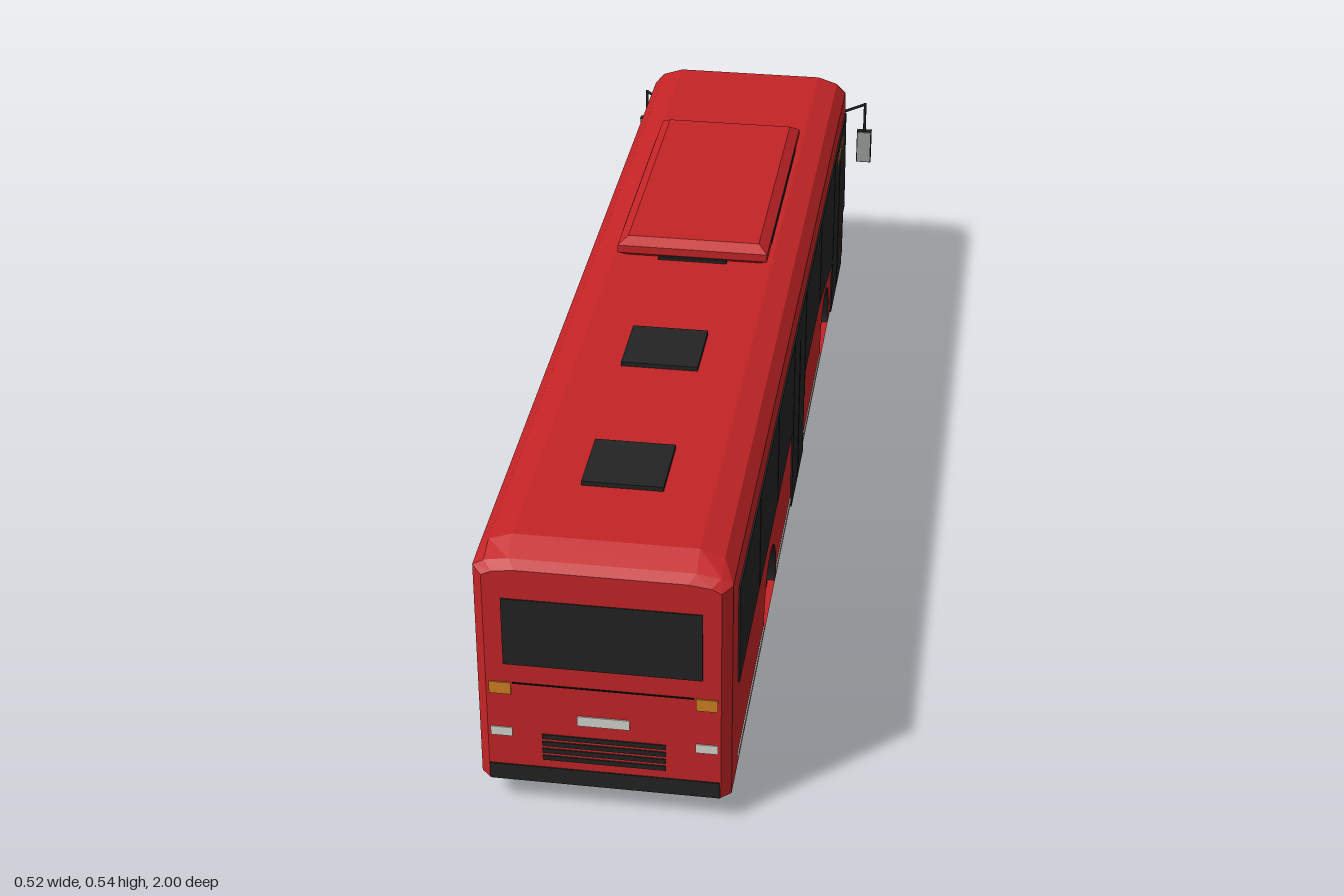
import * as THREE from 'three';

const mat = (name, color) => new THREE.MeshStandardMaterial({ name, color, side: THREE.DoubleSide });

export function createModel() {
  const bus = new THREE.Group();
  bus.name = 'cityBus';
  const red = mat('red paint', 0xc42426);
  const black = mat('black trim', 0x232323);
  const line = mat('seam black', 0x131313);
  const under = mat('chassis grey', 0x2a2d30);
  const rubber = mat('tyre rubber', 0x1c1c1c);
  const glass = mat('windscreen blue', 0x6a808d);
  const amber = mat('amber lamp', 0xd08022);
  const white = mat('pale lamp', 0xd6d6d0);
  const silver = mat('silver', 0x9c9e9c);

  const add = (name, geo, material, parent = bus) => {
    const m = new THREE.Mesh(geo, material);
    m.name = name;
    parent.add(m);
    return m;
  };
  // box given by its limits on each axis
  const box = (name, x0, x1, y0, y1, z0, z1, material) => add(name,
    new THREE.BoxGeometry(x1 - x0, y1 - y0, z1 - z0)
      .translate((x0 + x1) / 2, (y0 + y1) / 2, (z0 + z1) / 2), material);
  // flat-shaded geometry from quads of corner points
  const quads = (list) => {
    const pos = [];
    for (const [a, b, c, d] of list) pos.push(...a, ...b, ...c, ...a, ...c, ...d);
    const g = new THREE.BufferGeometry();
    g.setAttribute('position', new THREE.Float32BufferAttribute(pos, 3));
    g.computeVertexNormals();
    return g;
  };

  const W = 0.208, FLOOR = 0.05, SILL = 0.17, AXLES = [0.456, -0.525], ARCH = 0.088, HUB = 0.08;
  const lean = (y) => Math.max(0, y - SILL) * 0.12;

  // Body shell: cross-sections from tail to nose [z, half width, shoulder, roof, leaning]
  const rings = [
    [1.0, 0.192, 0.455, 0.468, 0], [0.985, W, 0.463, 0.48, 0], [0.945, W, 0.465, 0.5, 0],
    [-0.885, W, 0.465, 0.5, 0], [-0.935, W, 0.46, 0.492, 1], [-0.97, 0.18, 0.45, 0.472, 1],
  ].map(([z, w, s, t, k]) => {
    const half = [[w, FLOOR], [w, SILL], [w, s], [w * 0.91, s + (t - s) * 0.63], [w * 0.72, t]]
      .map(([x, y]) => [x, y, z + k * lean(y)]);
    return [...half, ...half.map(([x, y, zz]) => [-x, y, zz]).reverse()];
  });
  const skin = [];
  for (let k = 0; k < 5; k++) for (let j = 0; j < 10; j++) {
    if (k > 0 && k < 4 && (j === 0 || j === 8)) continue; // lower sides are cut separately
    const n = (j + 1) % 10, a = rings[k], b = rings[k + 1];
    skin.push([a[j], b[j], b[n], a[n]]);
  }
  for (let j = 0; j < 4; j++) {
    const a = rings[0], b = rings[5];
    skin.push([a[j], a[j + 1], a[8 - j], a[9 - j]], [b[9 - j], b[8 - j], b[j + 1], b[j]]);
  }
  add('bodyShell', quads(skin), red);

  // Lower side walls with wheel arches
  const cut = Math.asin((HUB - FLOOR) / ARCH);
  const wall = new THREE.Shape().moveTo(-0.935, FLOOR);
  for (const c of [...AXLES].reverse()) {
    wall.lineTo(c - ARCH * Math.cos(cut), FLOOR);
    wall.absarc(c, HUB, ARCH, Math.PI + cut, -cut, true);
  }
  wall.lineTo(0.985, FLOOR).lineTo(0.985, SILL).lineTo(-0.935, SILL);
  for (const s of [1, -1]) {
    add('lowerSideWall', new THREE.ShapeGeometry(wall, 20).rotateY(-Math.PI / 2), red).position.x = s * W;
  }
  box('underside', -0.195, 0.195, 0.046, 0.0505, -0.93, 0.945, under);

  // Thin plate on one side, outlined in z and y
  const plate = (name, s, pts, material, out = 0.003) => {
    const shape = new THREE.Shape(pts.map(([z, y]) => new THREE.Vector2(z, y)));
    const g = new THREE.ExtrudeGeometry(shape, { depth: out + 0.001, bevelEnabled: false }).rotateY(-Math.PI / 2);
    add(name, g, material).position.x = s > 0 ? W + out : -W + 0.001;
  };
  const rect = (z0, z1, y0, y1) => [[z0, y0], [z1, y0], [z1, y1], [z0, y1]];
  const band = [[0.917, 0.413], [0.917, 0.225], [-0.37, 0.225], [-0.654, SILL]];
  const nose = [[-0.928, SILL], [-0.9, 0.413]];
  plate('windowBandDoorSide', 1, [...band, [-0.654, FLOOR], [-0.885, FLOOR], [-0.885, SILL], ...nose], black);
  plate('windowBand', -1, [...band, ...nose], black);
  plate('middleDoor', 1, rect(-0.08, 0.123, FLOOR, 0.23), black);
  for (const z of [0.022, -0.77]) plate('doorSeam', 1, rect(z - 0.002, z + 0.002, 0.055, 0.36), line, 0.004);
  for (const z of [0.123, -0.08, -0.654]) plate('doorEdge', 1, rect(z - 0.001, z + 0.001, 0.18, 0.41), line, 0.004);
  for (const s of [1, -1]) for (const z of [0.65, 0.38, -0.37]) {
    plate('windowSeam', s, rect(z - 0.001, z + 0.001, 0.228, 0.41), line, 0.004);
  }
  plate('sideSign', 1, rect(-0.777, -0.713, 0.375, 0.389), amber, 0.005);
  plate('sideSign', 1, rect(-0.83, -0.788, 0.375, 0.389), amber, 0.005);
  plate('engineVent', -1, rect(0.82, 0.92, 0.125, 0.175), black);
  for (const [z0, z1] of [[0.55, 0.91], [0.13, 0.362], [-0.43, -0.085]]) {
    for (const s of [1, -1]) plate('sideStripe', s, rect(z0, z1, 0.066, 0.074), white, 0.002);
  }
  plate('sideStripe', -1, rect(-0.085, 0.13, 0.066, 0.074), white, 0.002);

  // Tail: window, lamps, number plate, vents, bumper
  const tail = (name, x0, x1, y0, y1, m) => box(name, x0, x1, y0, y1, 0.998, 1.002, m);
  tail('rearWindow', -0.162, 0.162, 0.285, 0.413, black);
  tail('rearPlate', -0.043, 0.043, 0.173, 0.192, white);
  tail('rearBumper', -0.191, 0.191, FLOOR, 0.081, black);
  tail('engineLidSeam', -0.148, 0.148, 0.247, 0.249, line);
  for (let i = 0; i < 4; i++) tail('rearVent', -0.102, 0.102, 0.097 + i * 0.0143, 0.106 + i * 0.0143, black);
  for (const s of [1, -1]) {
    const [a, b] = s > 0 ? [0.151, 0.187] : [-0.187, -0.151];
    tail('rearIndicator', a, b, 0.225, 0.248, amber);
    tail('rearLamp', a, b, 0.14, 0.157, white);
  }

  // Nose: quads that follow the raked front and its angled corners
  const onNose = (x, y, off) => [x, y, -0.97 + Math.max(0, Math.abs(x) - 0.18) * 1.25 + lean(y) - off];
  const front = (name, x0, x1, y0, y1, m, off = 0.003) => add(name, quads([[
    onNose(x1, y0, off), onNose(x0, y0, off), onNose(x0, y1, off), onNose(x1, y1, off)]]), m);
  front('windscreenFrame', -0.18, 0.18, SILL, 0.442, black, 0.002);
  front('windscreen', -0.176, 0.176, 0.175, 0.436, glass, 0.004);
  front('frontGrille', -0.115, 0.115, 0.098, 0.128, black);
  front('frontPlate', -0.043, 0.043, 0.07, 0.09, white, 0.004);
  front('frontBumper', -0.18, 0.18, FLOOR, 0.064, black);
  for (const s of [1, -1]) {
    const pair = (name, a, b, ...rest) => (s > 0 ? front(name, a, b, ...rest) : front(name, -b, -a, ...rest));
    pair('cornerFrame', 0.18, W, SILL, 0.442, black, 0.002);
    pair('cornerGlass', 0.184, 0.206, 0.175, 0.436, glass, 0.004);
    pair('headlamp', 0.123, 0.17, 0.097, 0.129, white);
    pair('cornerIndicator', 0.182, 0.206, 0.1, 0.135, amber);
    pair('cornerBumper', 0.18, W, FLOOR, 0.064, black);
  }

  // Straight rod between two points
  const rod = (name, a, b, r, m) => {
    const p = new THREE.Vector3(...a), q = new THREE.Vector3(...b);
    add(name, new THREE.TubeGeometry(new THREE.LineCurve3(p, q), 1, r, 8), m);
  };
  rod('wiper', [-0.14, 0.18, -0.976], [0.0, 0.2, -0.974], 0.002, line);
  rod('wiper', [0.02, 0.18, -0.976], [0.15, 0.2, -0.974], 0.002, line);

  // Mirrors on bent arms
  for (const s of [1, -1]) {
    rod('mirrorArm', [s * 0.2, 0.403, -0.925], [s * 0.245, 0.395, -0.99], 0.003, black);
    rod('mirrorArm', [s * 0.245, 0.397, -0.99], [s * 0.245, 0.32, -0.992], 0.003, black);
    const x = s * 0.245;
    box('mirrorHousing', x - 0.016, x + 0.016, 0.255, 0.33, -1.0, -0.987, black);
    box('mirrorFace', x - 0.014, x + 0.014, 0.257, 0.328, -0.988, -0.985, silver);
  }

  // Roof pod and hatches
  const pod = new THREE.Shape([[-0.124, -0.262], [0.124, -0.262], [0.124, 0.262], [-0.124, 0.262]]
    .map(([x, y]) => new THREE.Vector2(x, y)));
  add('roofPod', new THREE.ExtrudeGeometry(pod, {
    depth: 0.015, bevelThickness: 0.013, bevelSize: 0.018, bevelSegments: 1,
  }).rotateX(-Math.PI / 2), red).position.set(0, 0.511, -0.28);
  for (const s of [1, -1]) {
    box('podVent', s * 0.142 - 0.001, s * 0.142 + 0.001, 0.512, 0.525, -0.48, -0.07, black);
  }
  box('podRearVent', -0.065, 0.065, 0.498, 0.506, -0.02, -0.002, black);
  for (const z of [0.335, 0.725]) box('roofHatch', -0.068, 0.068, 0.497, 0.508, z - 0.066, z + 0.066, black);

  // Wheels: turned tyre and hub, sitting in dark wells
  const turned = (pts, segs = 32) => new THREE.LatheGeometry(
    pts.map(([r, x]) => new THREE.Vector2(r, x)), segs).rotateZ(-Math.PI / 2);
  const tyre = turned([[0.048, -0.024], [0.07, -0.025], [0.08, -0.019], [0.08, 0.019], [0.07, 0.025], [0.048, 0.024], [0.048, -0.024]]);
  const frontHub = turned([[0.05, 0.016], [0.047, 0.023], [0.04, 0.021], [0.036, 0.012], [0.022, 0.014], [0.019, 0.023], [0, 0.023]], 24);
  const frontRim = turned([[0.04, 0.0215], [0.024, 0.0215]], 24);
  const rearHub = turned([[0.05, 0.02], [0.046, 0.006], [0.025, 0.002], [0.02, 0.008], [0, 0.008]], 24);
  const back = new THREE.CircleGeometry(ARCH, 24, -cut, Math.PI + 2 * cut).rotateY(-Math.PI / 2);
  const liner = new THREE.CylinderGeometry(ARCH, ARCH, 0.12, 24, 1, true, -cut, Math.PI + 2 * cut).rotateZ(Math.PI / 2);
  AXLES.forEach((z, i) => {
    for (const s of [1, -1]) {
      const w = new THREE.Group();
      w.name = i ? 'frontWheel' : 'rearWheel';
      w.position.set(0, HUB, z);
      if (s < 0) w.rotation.y = Math.PI;
      bus.add(w);
      add('wheelWell', liner, rubber, w).position.x = 0.148;
      add('wellBack', back, rubber, w).position.x = 0.09;
      add('tyre', tyre, rubber, w).position.x = 0.17;
      add('hub', i ? frontHub : rearHub, i ? silver : black, w).position.x = 0.17;
      if (i) add('rimShade', frontRim, under, w).position.x = 0.166;
      else add('innerTyre', tyre, rubber, w).position.x = 0.12;
    }
  });
  rod('frontAxle', [-0.16, 0.042, AXLES[1]], [0.16, 0.042, AXLES[1]], 0.009, under);

  return bus;
}
